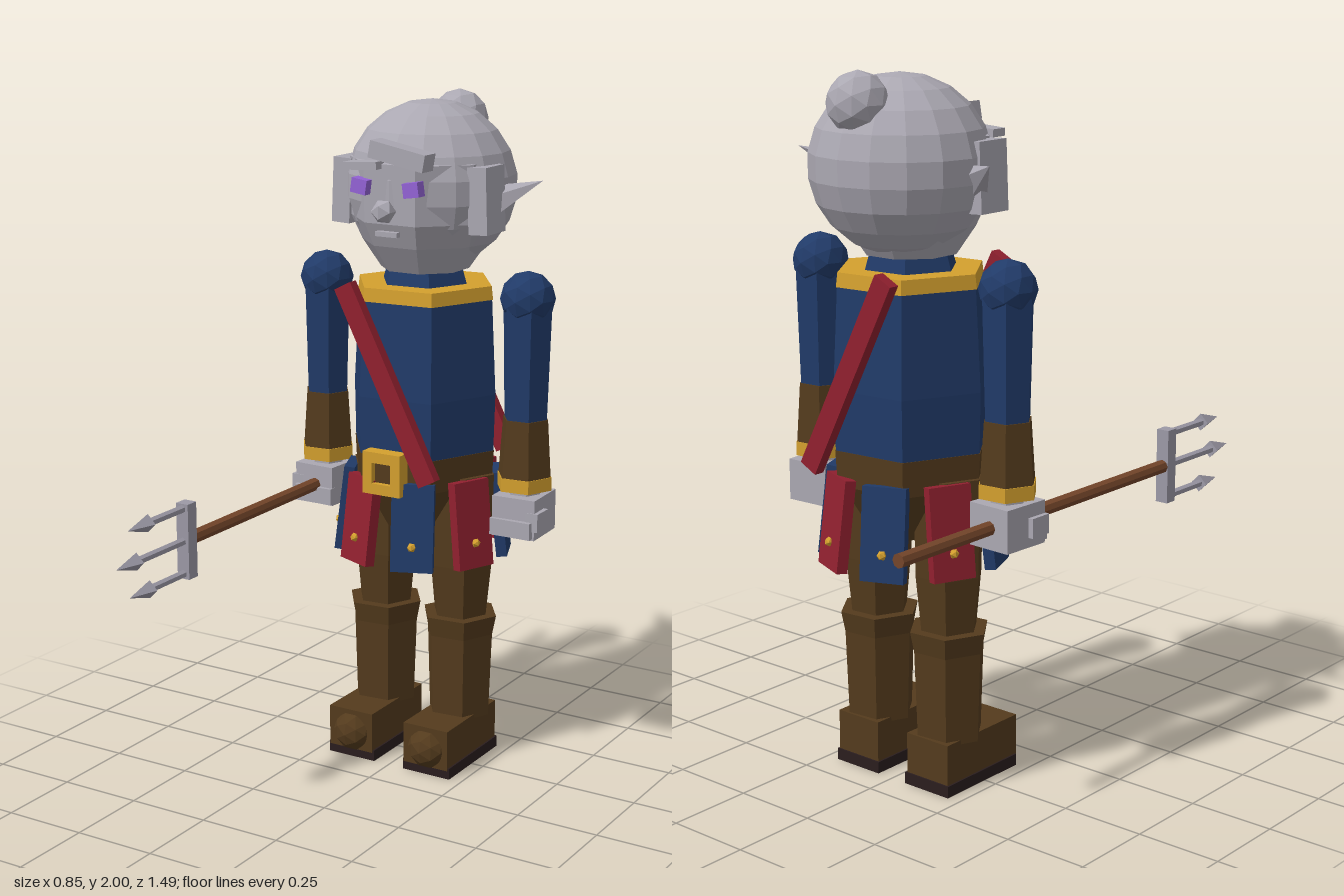
import * as THREE from 'three';

const mat = (name, color) => {
  const m = new THREE.MeshStandardMaterial({ color });
  m.name = name;
  return m;
};
const ash = mat('ash skin and hair', 0xaba8b2);
const navy = mat('navy cloth', 0x213b69);
const red = mat('red cloth', 0x91202f);
const gold = mat('gold', 0xd4a02e);
const leather = mat('brown leather', 0x543b1d);
const dark = mat('dark sole', 0x2a1d1e);
const wood = mat('wood', 0x75462a);
const steel = mat('steel', 0x9c99a6);
const violet = mat('violet eyes', 0x9463d6);

const BZ = -0.31; // depth of the body axis

// Low-poly mesh with faceted normals
function part(parent, name, geo, material, x, y, z, rx = 0, ry = 0, rz = 0) {
  const g = geo.index ? geo.toNonIndexed() : geo;
  g.computeVertexNormals();
  const m = new THREE.Mesh(g, material);
  m.name = name;
  m.position.set(x, y, z);
  m.rotation.set(rx, ry, rz);
  parent.add(m);
  return m;
}
const box = (w, h, d) => new THREE.BoxGeometry(w, h, d);
const ico = (r, detail = 1) => new THREE.IcosahedronGeometry(r, detail);

// Upright prism from y0 to y1 with radii r0 (bottom) and r1 (top), flat side nearly forward
function prism(parent, name, material, x, y0, y1, r0, r1, sides = 6, turn = 0.09) {
  const g = new THREE.CylinderGeometry(r1, r0, y1 - y0, sides);
  g.rotateY(Math.PI / sides + turn);
  return part(parent, name, g, material, x, (y0 + y1) / 2, BZ);
}

function buildHead() {
  const head = new THREE.Group();
  head.name = 'head';
  const skull = part(head, 'skull', new THREE.SphereGeometry(0.245, 16, 11), ash, 0, 1.74, -0.347);
  skull.scale.x = 1.03;
  // Face with a tapered jaw
  const profile = [[0, 1.5], [0.13, 1.5], [0.185, 1.58], [0.218, 1.65], [0.222, 1.82], [0, 1.86]]
    .map(([r, y]) => new THREE.Vector2(r, y));
  const face = new THREE.LatheGeometry(profile, 8);
  face.rotateY(Math.PI / 8);
  part(head, 'face', face, ash, 0, 0, BZ);
  part(head, 'hairBun', ico(0.086), ash, 0, 1.914, -0.508);
  part(head, 'fringe', box(0.18, 0.05, 0.06), ash, 0.043, 1.85, -0.1, 0, 0, -0.18);
  part(head, 'brow', box(0.11, 0.022, 0.05), ash, -0.08, 1.815, -0.1, 0, 0, 0.06);
  part(head, 'nose', ico(0.036, 0), ash, 0, 1.692, -0.075);
  part(head, 'mouth', box(0.07, 0.014, 0.02), ash, 0, 1.625, -0.098);
  for (const s of [-1, 1]) {
    part(head, 'eye', box(0.05, 0.042, 0.035), violet, s * 0.085, 1.757, -0.095, 0, 0, s * 0.15);
    part(head, 'sideLock', box(0.06, 0.19, 0.11), ash, s * 0.225, 1.72, -0.265, 0, 0, s * 0.04);
    // Ear sweeping outward and back
    const ear = new THREE.ConeGeometry(0.055, 0.17, 5);
    ear.scale(1, 1, 0.7);
    const m = part(head, 'ear', ear, ash, s * 0.275, 1.735, -0.345);
    m.quaternion.setFromUnitVectors(new THREE.Vector3(0, 1, 0),
      new THREE.Vector3(s * 0.78, 0.38, -0.5).normalize());
  }
  return head;
}

function buildTorso() {
  const torso = new THREE.Group();
  torso.name = 'torso';
  prism(torso, 'collar', navy, 0, 1.44, 1.54, 0.14, 0.11);
  prism(torso, 'neckTrim', gold, 0, 1.42, 1.46, 0.218, 0.213);
  prism(torso, 'chest', navy, 0, 1.14, 1.42, 0.23, 0.215);
  prism(torso, 'waist', navy, 0, 0.97, 1.14, 0.226, 0.23);
  prism(torso, 'belt', leather, 0, 0.87, 0.97, 0.222, 0.228);
  prism(torso, 'pelvis', leather, 0, 0.72, 0.87, 0.12, 0.21);
  // Square buckle with an inset
  const frame = new THREE.Shape([[-1, -1], [1, -1], [1, 1], [-1, 1]]
    .map(([x, y]) => new THREE.Vector2(x * 0.063, y * 0.063)));
  frame.holes.push(new THREE.Path([[-1, -1], [-1, 1], [1, 1], [1, -1]]
    .map(([x, y]) => new THREE.Vector2(x * 0.031, y * 0.031))));
  part(torso, 'buckle', new THREE.ExtrudeGeometry(frame, { depth: 0.045, bevelEnabled: false }),
    gold, 0, 0.927, -0.108);
  part(torso, 'buckleInset', box(0.062, 0.062, 0.03), leather, 0, 0.927, -0.095);
  // Shoulder strap, front and back
  for (const z of [-0.075, -0.548]) {
    part(torso, 'strap', box(0.06, 0.62, 0.032), red, 0.013, 1.195, z, 0, 0, 0.475);
  }
  // Ring of alternating skirt panels, flared at the hem
  for (let i = 0; i < 8; i++) {
    const panel = new THREE.Group();
    panel.name = 'skirtPanel';
    const pivot = new THREE.Group();
    pivot.name = 'skirtPivot';
    pivot.rotation.y = (i + 0.5) * Math.PI / 4;
    pivot.position.set(0, 0.77, BZ);
    panel.position.z = 0.23;
    panel.rotation.x = -0.12;
    part(panel, 'panelCloth', box(0.125, 0.26, 0.032), i % 2 ? red : navy, 0, 0, 0);
    part(panel, 'panelStud', ico(0.014, 0), gold, 0, -0.055, 0.018);
    pivot.add(panel);
    torso.add(pivot);
  }
  return torso;
}

function buildArm(s) {
  const arm = new THREE.Group();
  arm.name = s > 0 ? 'leftArm' : 'rightArm';
  const x = s * 0.34;
  part(arm, 'shoulder', ico(0.08), navy, x, 1.44, BZ);
  prism(arm, 'upperArm', navy, x, 1.08, 1.42, 0.066, 0.075);
  prism(arm, 'bracer', leather, x, 0.92, 1.09, 0.082, 0.07);
  prism(arm, 'cuffTrim', gold, x, 0.88, 0.92, 0.085, 0.085);
  prism(arm, 'wrist', ash, x, 0.85, 0.89, 0.05, 0.05);
  part(arm, 'hand', box(0.135, 0.12, 0.15), ash, x, 0.805, BZ, 0, s * 0.05, 0);
  part(arm, 'thumb', box(0.04, 0.055, 0.07), ash, x + s * 0.063, 0.8, BZ + 0.04);
  part(arm, 'fingers', box(0.13, 0.05, 0.03), ash, x, 0.775, BZ + 0.075);
  return arm;
}

function buildLeg(s) {
  const leg = new THREE.Group();
  leg.name = s > 0 ? 'leftLeg' : 'rightLeg';
  const x = s * 0.131;
  prism(leg, 'thigh', leather, x, 0.62, 0.9, 0.1, 0.104);
  prism(leg, 'knee', leather, x, 0.44, 0.62, 0.082, 0.1);
  prism(leg, 'bootCuff', leather, x, 0.39, 0.46, 0.104, 0.118);
  prism(leg, 'bootShaft', leather, x, 0.14, 0.4, 0.097, 0.106);
  part(leg, 'foot', box(0.15, 0.125, 0.3), leather, x, 0.09, -0.255);
  part(leg, 'toeCap', ico(0.066), leather, x, 0.082, -0.132);
  part(leg, 'sole', box(0.16, 0.034, 0.3), dark, x, 0.017, -0.26);
  return leg;
}

function buildTrident() {
  const trident = new THREE.Group();
  trident.name = 'trident';
  const x = -0.34, y = 0.805, fwd = Math.PI / 2;
  part(trident, 'shaft', new THREE.CylinderGeometry(0.02, 0.02, 1.15, 8), wood, x, y, -0.17, fwd);
  part(trident, 'crossbar', box(0.04, 0.22, 0.04), steel, x, y, 0.425);
  for (const [dy, tip] of [[-0.095, 0.69], [0, 0.745], [0.095, 0.69]]) {
    const base = tip - 0.09;
    part(trident, 'tine', new THREE.CylinderGeometry(0.012, 0.012, base - 0.43, 6), steel,
      x, y + dy, (base + 0.43) / 2, fwd);
    part(trident, 'tineHead', new THREE.ConeGeometry(0.026, 0.09, 4), steel,
      x, y + dy, tip - 0.045, fwd);
  }
  return trident;
}

export function createModel() {
  const model = new THREE.Group();
  model.name = 'tridentGuard';
  model.add(buildHead(), buildTorso(), buildTrident());
  for (const s of [-1, 1]) model.add(buildArm(s), buildLeg(s));
  return model;
}
